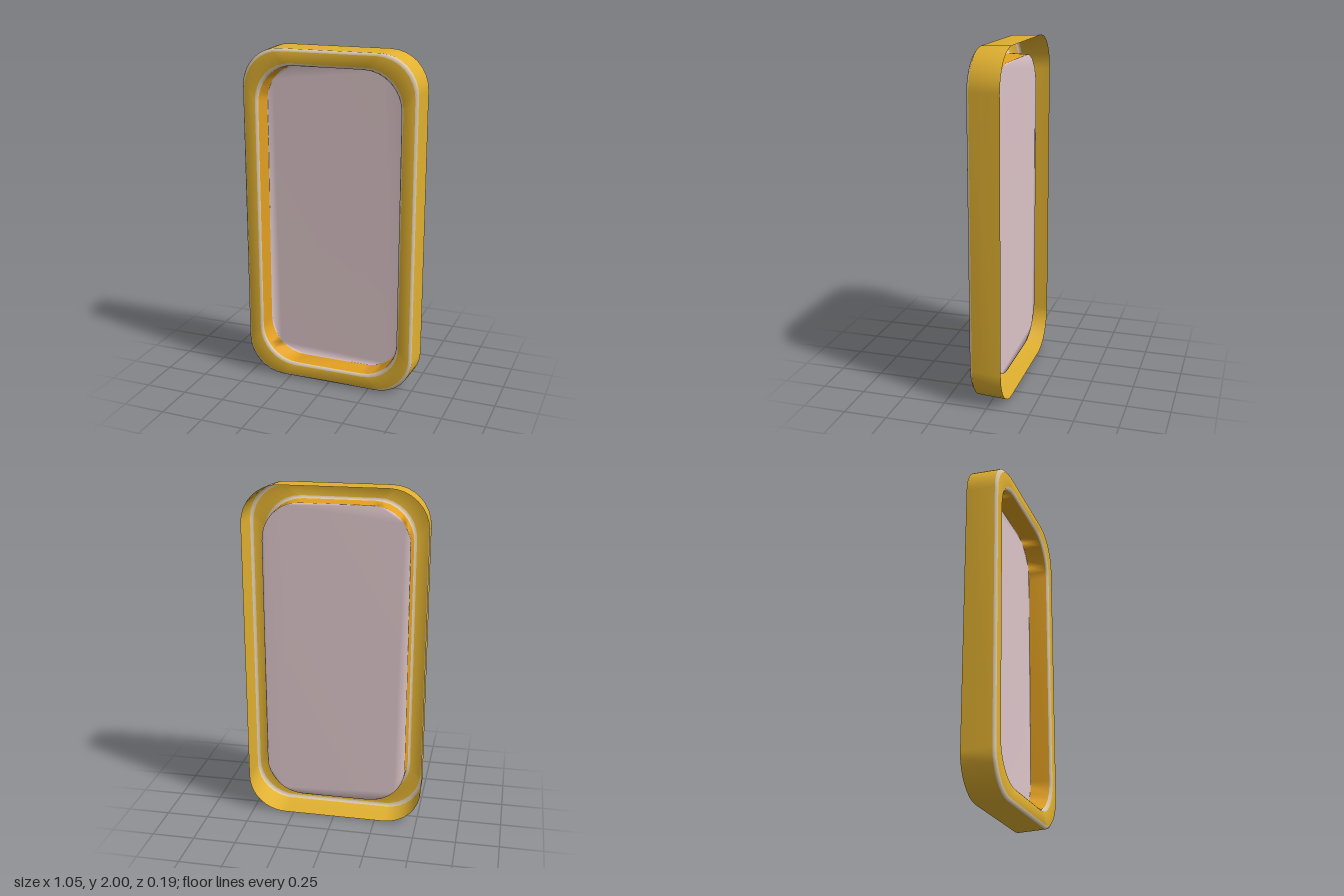
import * as THREE from 'three';

const CORNER_STEPS = 8;
const CORNER_RADIUS = 0.22;

// Rounded rectangle, counter-clockwise when seen from the front
function roundedLoop(hw, hh, r) {
  const pts = [];
  const centres = [[1, 1], [-1, 1], [-1, -1], [1, -1]];
  centres.forEach(([sx, sy], corner) => {
    for (let i = 0; i <= CORNER_STEPS; i++) {
      const a = (corner + i / CORNER_STEPS) * Math.PI / 2;
      pts.push(new THREE.Vector2(sx * (hw - r) + r * Math.cos(a), sy * (hh - r) + r * Math.sin(a)));
    }
  });
  return pts;
}

export function createModel() {
  const group = new THREE.Group();
  group.name = 'framedPanel';

  const material = (name, color) => {
    const m = new THREE.MeshStandardMaterial({ color, side: THREE.DoubleSide });
    m.name = name;
    return m;
  };
  const gold = material('gold', 0xe0b030);
  const cream = material('cream', 0xe0cdb0);
  const orange = material('orange', 0xe2a020);
  const pink = material('palePink', 0xdec6ca);

  // Cross-section of the frame: half width, half height, depth
  const profile = [
    [0.523, 1.0, -0.0925],
    [0.517, 0.994, 0.077],
    [0.502, 0.979, 0.0925],
    [0.438, 0.915, 0.0925],
    [0.424, 0.901, 0.078],
    [0.42, 0.897, -0.035],
  ];
  const loops = profile.map(([hw, hh]) => roundedLoop(hw, hh, CORNER_RADIUS));
  const n = loops[0].length;
  const positions = [];
  loops.forEach((loop, k) => loop.forEach((p) => positions.push(p.x, p.y + 1, profile[k][2])));

  // Faces between each pair of neighbouring loops
  const strip = (k) => {
    const index = [];
    for (let i = 0; i < n; i++) {
      const j = (i + 1) % n;
      const a = k * n + i, b = k * n + j, c = b + n, d = a + n;
      index.push(a, b, c, a, c, d);
    }
    return index;
  };
  const last = loops.length - 1;
  const panelFaces = THREE.ShapeUtils.triangulateShape(loops[last], []).flat().map((i) => i + last * n);

  const parts = [
    ['outerWall', gold, strip(0)],
    ['outerBevel', cream, strip(1)],
    ['frontRim', gold, strip(2)],
    ['innerBevel', cream, strip(3)],
    ['innerWall', orange, strip(4)],
    ['recessedPanel', pink, panelFaces],
  ];

  // Normals are shared so that the shading runs smoothly across all parts
  const shell = new THREE.BufferGeometry();
  shell.setAttribute('position', new THREE.Float32BufferAttribute(positions, 3));
  shell.setIndex(parts.flatMap((part) => part[2]));
  shell.computeVertexNormals();

  for (const [name, mat, index] of parts) {
    const geometry = new THREE.BufferGeometry();
    geometry.setAttribute('position', shell.getAttribute('position'));
    geometry.setAttribute('normal', shell.getAttribute('normal'));
    geometry.setIndex(index);
    const mesh = new THREE.Mesh(geometry, mat);
    mesh.name = name;
    group.add(mesh);
  }
  return group;
}
